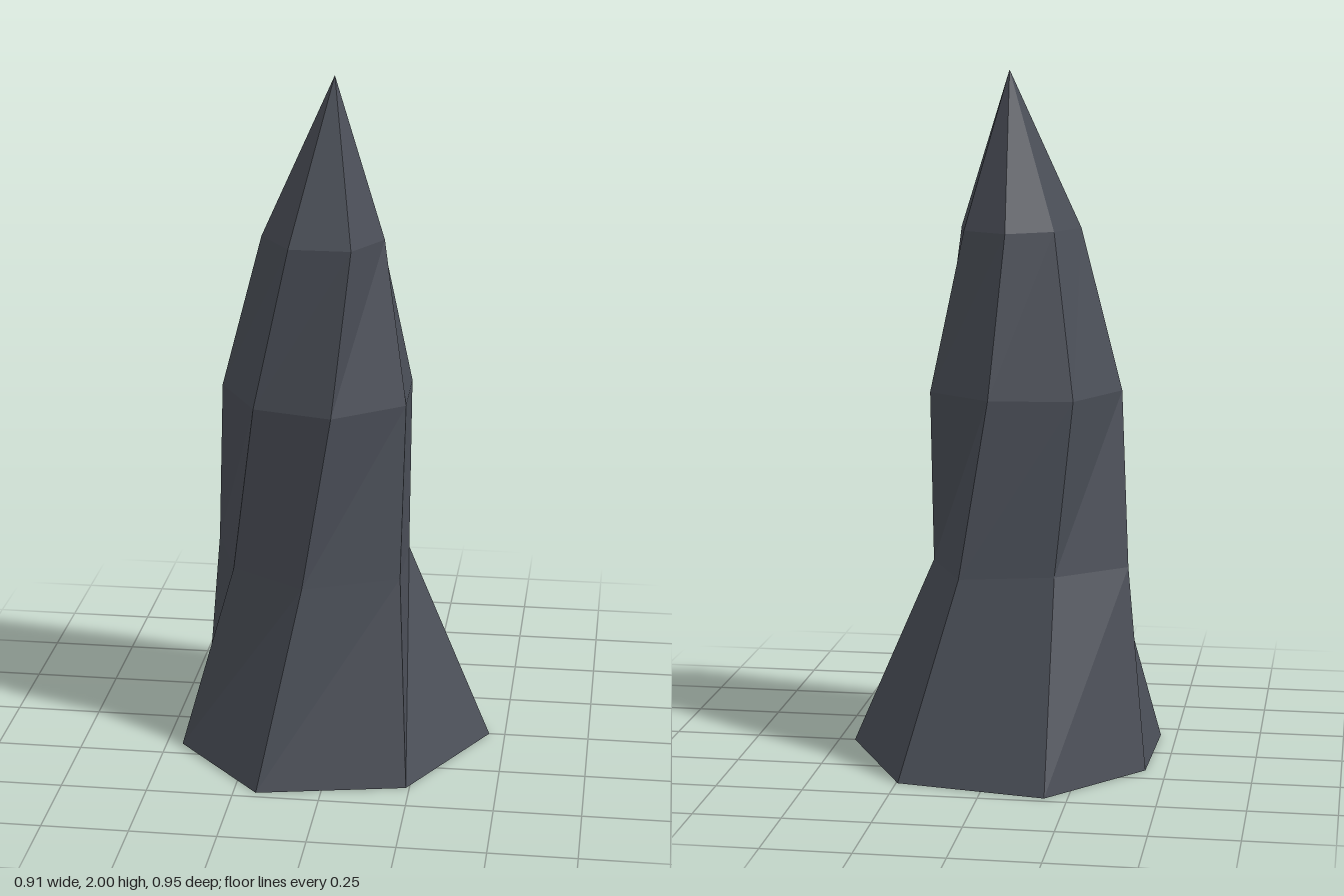
import * as THREE from 'three';

// Seven-sided cross-sections from the ground up: height and [x, z] corners
const SECTIONS = [
  { y: 0, ring: [[0.453, 0], [0.24, 0.39], [-0.185, 0.475], [-0.453, 0.185], [-0.44, -0.175], [-0.185, -0.475], [0.245, -0.4]] },
  { y: 0.575, ring: [[0.2, -0.05], [0.2, 0.21], [-0.07, 0.327], [-0.29, 0.185], [-0.375, -0.067], [-0.18, -0.232], [0.085, -0.3]] },
  { y: 1.08, ring: [[0.2, -0.1], [0.207, 0.145], [0.01, 0.295], [-0.22, 0.233], [-0.345, 0.015], [-0.23, -0.217], [0.01, -0.243]] },
  { y: 1.545, ring: [[0.105, -0.073], [0.135, 0.07], [0.057, 0.217], [-0.12, 0.215], [-0.217, 0.07], [-0.155, -0.07], [-0.027, -0.16]] },
];
const APEX = [-0.013, 2, 0.023];

// Flat-shaded geometry from a list of triangles
function facets(triangles) {
  const geometry = new THREE.BufferGeometry();
  geometry.setAttribute('position', new THREE.Float32BufferAttribute(triangles.flat(2), 3));
  geometry.computeVertexNormals();
  return geometry;
}

export function createModel() {
  const stone = new THREE.MeshStandardMaterial({ color: 0x4a4e57 });
  stone.name = 'dark slate';
  stone.flatShading = true;

  const rings = SECTIONS.map(({ y, ring }) => ring.map(([x, z]) => [x, y, z]));
  const sides = rings[0].length;
  const shaft = [], tip = [], base = [];

  for (let i = 0; i < sides; i++) {
    const j = (i + 1) % sides;
    // Twisted walls between neighbouring sections
    for (let r = 0; r < rings.length - 1; r++) {
      const low = rings[r], high = rings[r + 1];
      shaft.push([low[i], high[i], low[j]], [low[j], high[i], high[j]]);
    }
    // Pointed top and flat underside
    const top = rings[rings.length - 1];
    tip.push([top[i], APEX, top[j]]);
    base.push([[0, 0, 0], rings[0][i], rings[0][j]]);
  }

  const group = new THREE.Group();
  group.name = 'rockSpire';
  for (const [name, triangles] of Object.entries({ shaft, tip, base })) {
    const mesh = new THREE.Mesh(facets(triangles), stone);
    mesh.name = name;
    group.add(mesh);
  }
  return group;
}
